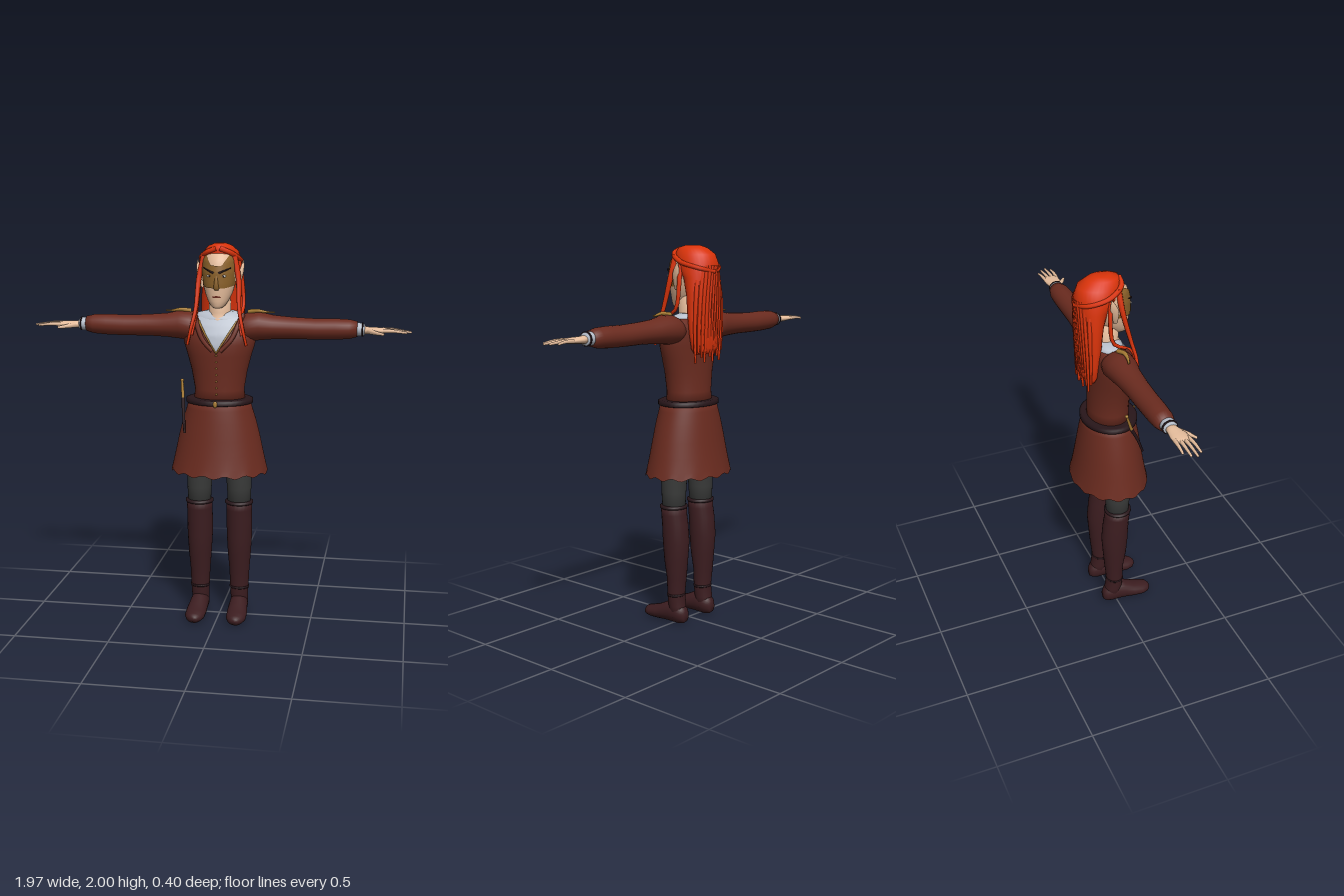
import * as THREE from 'three';

const mat = (name, color, side = THREE.FrontSide) => {
  const m = new THREE.MeshStandardMaterial({ color, side });
  m.name = name;
  return m;
};

// Closed skin over elliptical sections [t, a, b, ra, rb] stacked along an axis.
function loft(secs, axis = 'y', segs = 24, capped = true) {
  const pos = [], idx = [], n = secs.length;
  const put = (t, a, b) =>
    pos.push(...(axis === 'y' ? [a, t, b] : axis === 'x' ? [t, a, b] : [a, b, t]));
  for (const [t, a, b, ra, rb] of secs) {
    for (let i = 0; i < segs; i++) {
      const w = (i / segs) * Math.PI * 2;
      put(t, a + ra * Math.cos(w), b + rb * Math.sin(w));
    }
  }
  const flip = (axis !== 'y') !== (secs[n - 1][0] < secs[0][0]);
  const tri = (a, b, c) => (flip ? idx.push(a, c, b) : idx.push(a, b, c));
  for (let j = 0; j < n - 1; j++) {
    for (let i = 0; i < segs; i++) {
      const k = (i + 1) % segs, r = j * segs, s = r + segs;
      tri(r + i, s + i, r + k);
      tri(r + k, s + i, s + k);
    }
  }
  if (capped) {
    put(...secs[0].slice(0, 3));
    put(...secs[n - 1].slice(0, 3));
    const c0 = n * segs, last = (n - 1) * segs;
    for (let i = 0; i < segs; i++) {
      const k = (i + 1) % segs;
      tri(c0, i, k);
      tri(c0 + 1, last + k, last + i);
    }
  }
  const g = new THREE.BufferGeometry();
  g.setAttribute('position', new THREE.Float32BufferAttribute(pos, 3));
  g.setIndex(idx);
  g.computeVertexNormals();
  return g;
}

// Tube along points whose radius runs from r0 to r1.
function strand(points, r0, r1, steps = 14) {
  const curve = new THREE.CatmullRomCurve3(points.map(p => new THREE.Vector3(...p)));
  const g = new THREE.TubeGeometry(curve, steps, 1, 7);
  const p = g.attributes.position, v = new THREE.Vector3();
  for (let i = 0; i < p.count; i++) {
    const t = Math.floor(i / 8) / steps, c = curve.getPointAt(t);
    v.fromBufferAttribute(p, i).sub(c).multiplyScalar(r0 + (r1 - r0) * t).add(c);
    p.setXYZ(i, v.x, v.y, v.z);
  }
  return g;
}

// Front z of a y-stacked loft at (x, y).
function frontZ(secs, x, y) {
  let j = 0;
  while (j < secs.length - 2 && y > secs[j + 1][0]) j++;
  const k = THREE.MathUtils.clamp((y - secs[j][0]) / (secs[j + 1][0] - secs[j][0]), 0, 1);
  const [, , cz, rx, rz] = secs[j].map((a, i) => a + (secs[j + 1][i] - a) * k);
  return cz + rz * Math.sqrt(Math.max(0, 1 - (x / rx) ** 2));
}

// Thin sheet lying on a loft between the curves lo(x) and hi(x).
function plate(secs, half, lo, hi, off) {
  const g = new THREE.PlaneGeometry(2, 1, 28, 14), p = g.attributes.position;
  for (let i = 0; i < p.count; i++) {
    const x = p.getX(i) * half, a = Math.abs(x);
    const y = lo(a) + (hi(a) - lo(a)) * (p.getY(i) + 0.5);
    p.setXYZ(i, x, y, frontZ(secs, x, y) + off);
  }
  g.computeVertexNormals();
  return g;
}

export function createModel() {
  const root = new THREE.Group();
  root.name = 'costumedFigure';
  const coat = mat('russet coat', 0x6a2b1f, THREE.DoubleSide);
  const hair = mat('red hair', 0xd9330a);
  const skin = mat('skin', 0xe6bd9c);
  const boot = mat('dark boot leather', 0x3c1d20);
  const tights = mat('charcoal tights', 0x393a39);
  const shirt = mat('pale grey shirt', 0xb9c0cc, THREE.DoubleSide);
  const gold = mat('old gold', 0xa87c34);
  const maskMat = mat('bronze mask', 0x8c622a, THREE.DoubleSide);
  const belt = mat('belt leather', 0x28161a);
  const white = mat('eye white', 0xe8e4dc);
  const add = (name, geo, m) => {
    const o = new THREE.Mesh(geo, m);
    o.name = name;
    root.add(o);
    return o;
  };
  const ball = (name, m, x, y, z, rx, ry, rz) => {
    const o = add(name, new THREE.SphereGeometry(1, 14, 10), m);
    o.position.set(x, y, z);
    o.scale.set(rx, ry, rz);
    return o;
  };

  // Coat body, skirt and belt
  const torso = [[1.17, 0, -.005, .138, .106], [1.25, 0, -.003, .13, .105], [1.35, 0, 0, .147, .105],
    [1.43, 0, .002, .168, .109], [1.49, 0, .002, .186, .11], [1.54, 0, -.003, .192, .106],
    [1.59, 0, -.012, .185, .092], [1.63, 0, -.02, .15, .072]];
  add('coatBody', loft(torso, 'y', 36), coat);
  const skirt = loft([[.812, 0, 0, .257, .2], [.85, 0, 0, .248, .191], [.92, 0, 0, .232, .178], [1.0, 0, 0, .215, .165],
    [1.09, 0, 0, .192, .152], [1.15, 0, 0, .173, .141], [1.19, 0, 0, .162, .134], [1.195, 0, 0, .12, .09]], 'y', 72, false);
  for (let i = 0, p = skirt.attributes.position; i < 72; i++) {
    p.setY(i, p.getY(i) + .008 * Math.cos(i / 72 * Math.PI * 28));
  }
  skirt.computeVertexNormals();
  add('skirt', skirt, coat);
  add('belt', loft([[1.177, 0, 0, .166, .136], [1.18, 0, 0, .176, .145], [1.2, 0, 0, .176, .145], [1.205, 0, 0, .163, .134]], 'y', 40), belt);
  ball('beltBuckle', gold, 0, 1.19, .146, .011, .018, .006);
  for (let i = 0; i < 7; i++) {
    const y = 1.235 + i * .034;
    ball('coatButton', gold, 0, y, frontZ(torso, 0, y) + .003, .005, .005, .005);
  }

  // Shirt, neck and head
  add('shirtYoke', loft([[1.585, 0, -.012, .145, .088], [1.625, 0, -.016, .142, .08], [1.645, 0, -.022, .12, .066], [1.655, 0, -.025, .075, .055]], 'y', 30), shirt);
  add('shirtFront', plate(torso, .1, a => 1.45 + a * 1.6, a => 1.615 + a * .15, .005), shirt);
  add('neck', loft([[1.59, 0, 0, .078, .073], [1.62, 0, -.005, .072, .072], [1.65, 0, -.01, .058, .06], [1.75, 0, -.005, .055, .06]]), skin);
  const head = [[1.678, 0, .06, .022, .028], [1.69, 0, .052, .038, .045], [1.715, 0, .038, .054, .062], [1.75, 0, .021, .07, .082],
    [1.8, 0, .01, .083, .096], [1.86, 0, 0, .09, .106], [1.92, 0, -.005, .086, .1], [1.96, 0, -.015, .065, .075], [1.98, 0, -.02, .03, .04]];
  add('head', loft(head, 'y', 30), skin);
  add('lips', plate(head, .024, a => 1.732 + a * .1, a => 1.743 - a * .2, .003), coat);
  add('nose', loft([[1.772, 0, .104, .01, .008], [1.782, 0, .108, .015, .014], [1.81, 0, .108, .011, .013], [1.85, 0, .104, .008, .008]], 'y', 12), maskMat);
  add('mask', plate(head, .084, a => 1.782 + .25 * Math.max(0, a - .045),
    a => 1.895 + .055 * Math.max(0, 1 - Math.abs(a - .062) / .034), .007), maskMat);

  // Hair cap, long back fall and ragged locks
  add('hairMass', loft([[2, 0, -.03, .03, .04], [1.988, 0, -.03, .062, .08], [1.955, 0, -.046, .092, .112], [1.9, 0, -.062, .105, .114],
    [1.84, 0, -.09, .108, .082], [1.75, 0, -.103, .112, .066], [1.65, 0, -.107, .115, .056],
    [1.55, 0, -.112, .11, .046], [1.48, 0, -.115, .1, .04], [1.45, 0, -.115, .08, .03]], 'y', 32), hair);
  for (let i = -5; i <= 5; i++) {
    const x = i * .019, d = Math.sqrt(1 - (i / 6) ** 2), end = 1.41 + .025 * ((i * 7 + 40) % 3);
    add('backLock', strand([[x * .7, 1.9, -.06 - .11 * d], [x, 1.75, -.1 - .063 * d], [x * 1.1, 1.58, -.11 - .045 * d], [x * 1.05, end, -.12 - .025 * d]], .014, .006), hair);
  }

  for (const s of [1, -1]) {
    // Side tresses and wrapped braids
    add('frontTress', strand([[.075 * s, 1.95, .02], [.102 * s, 1.83, .035], [.113 * s, 1.67, .075], [.135 * s, 1.57, .098], [.153 * s, 1.49, .095]], .017, .007), hair);
    add('sideTress', strand([[.09 * s, 1.93, -.02], [.113 * s, 1.8, -.035], [.122 * s, 1.68, -.02], [.115 * s, 1.62, .075], [.128 * s, 1.54, .1]], .014, .006), hair);
    add('hairBraid', strand([[.008 * s, 1.978, .053], [.06 * s, 1.958, .045], [.102 * s, 1.92, -.03], [.08 * s, 1.89, -.135], [0, 1.87, -.178]], .014, .012, 20), hair);
    // Pointed ear, eyes and shoulder ornaments
    add('ear', loft([[1.775, .09 * s, .002, .006, .01], [1.82, .102 * s, -.006, .013, .02], [1.86, .112 * s, -.014, .012, .022], [1.89, .117 * s, -.022, .008, .014], [1.915, .119 * s, -.03, .002, .003]], 'y', 12), skin);
    ball('eyeWhite', white, .036 * s, 1.843, frontZ(head, .036, 1.843) + .006, .014, .006, .004);
    ball('iris', belt, .036 * s, 1.843, frontZ(head, .036, 1.843) + .009, .005, .005, .003);
    add('maskBrow', strand([[.012 * s, 1.858, .112], [.04 * s, 1.87, .106], [.07 * s, 1.882, .077]], .005, .003), belt);
    const leaf = add('shoulderLeaf', strand([[.15 * s, 1.652, -.005], [.2 * s, 1.661, .005], [.245 * s, 1.654, .002], [.285 * s, 1.652, -.008]], .013, .003), gold);
    leaf.scale.z = 1.3;
    add('neckTrim', strand([0, .025, .05, .075, .1].map(x => {
      const y = 1.45 + x * 1.6;
      return [x * s, y, frontZ(torso, x, y) + .005];
    }), .004, .006), gold);
    add('lapel', strand([[.02 * s, 1.46, .112], [.075 * s, 1.52, .1], [.11 * s, 1.6, .07], [.125 * s, 1.64, .03]], .011, .014), coat);

    // Sleeve, cuff and hand
    add('sleeve', loft([[.09, 1.565, -.01, .06, .07], [.15, 1.575, -.01, .076, .085], [.21, 1.58, -.01, .073, .08], [.28, 1.576, -.01, .062, .068],
      [.38, 1.574, -.009, .056, .06], [.5, 1.571, -.008, .054, .057], [.6, 1.573, -.008, .054, .056], [.67, 1.574, -.008, .05, .053], [.71, 1.575, -.008, .04, .043]]
      .map(([x, ...r]) => [x * s, ...r]), 'x'), coat);
    add('shirtCuff', loft([[.69, 1.575, -.006, .034, .037], [.735, 1.574, -.004, .034, .037], [.748, 1.573, -.003, .028, .031]]
      .map(([x, ...r]) => [x * s, ...r]), 'x'), shirt);
    add('cuffBand', loft([[.733, 1.574, -.004, .036, .039], [.74, 1.574, -.004, .036, .039]]
      .map(([x, ...r]) => [x * s, ...r]), 'x'), belt);
    add('palm', loft([[.735, 1.572, -.002, .022, .027], [.77, 1.571, .002, .018, .033], [.81, 1.572, .005, .016, .043], [.85, 1.573, .005, .013, .044], [.865, 1.573, .005, .008, .038]]
      .map(([x, ...r]) => [x * s, ...r]), 'x', 16), skin);
    for (let f = 0; f < 4; f++) {
      const z = -.028 + f * .022, tip = [.935, .965, .978, .955][f];
      add('finger', strand([[.84 * s, 1.574, z], [.9 * s, 1.574, z * 1.15], [tip * s, 1.568, z * 1.2]], .011, .006, 8), skin);
      ball('fingertip', skin, tip * s, 1.568, z * 1.2, .007, .006, .006);
    }
    add('thumb', strand([[.765 * s, 1.57, .018], [.8 * s, 1.566, .052], [.84 * s, 1.562, .078]], .015, .007, 8), skin);
    ball('thumbTip', skin, .84 * s, 1.562, .078, .008, .007, .007);

    // Leg, boot and foot
    const x = .107 * s;
    add('leg', loft([[.62, x, .008, .06, .06], [.72, x, .009, .065, .066], [.82, x * .97, .009, .07, .07], [1.1, x * .8, 0, .08, .085]]), tights);
    add('bootShaft', loft([[.04, x, -.02, .045, .045], [.1, x, -.014, .047, .048], [.16, x, -.007, .05, .045], [.25, x, -.011, .054, .052],
      [.35, x, -.007, .062, .065], [.45, x, -.007, .068, .073], [.55, x, 0, .069, .07], [.6, x, .007, .068, .068], [.642, x, .01, .07, .067]]), boot);
    add('bootTopBand', loft([[.632, x, .01, .071, .068], [.636, x, .01, .075, .072], [.646, x, .01, .075, .072], [.65, x, .01, .064, .062]]), belt);
    add('ankleBand', loft([[.153, x, -.007, .05, .045], [.157, x, -.007, .053, .048], [.163, x, -.007, .053, .048], [.167, x, -.007, .05, .045]]), belt);
    add('foot', loft([[-.075, x, .045, .022, .028], [-.06, x, .052, .038, .046], [-.03, x, .058, .046, .058], [.01, x, .062, .049, .061], [.05, x * 1.01, .055, .051, .053],
      [.1, x * 1.03, .042, .054, .041], [.15, x * 1.04, .034, .053, .033], [.185, x * 1.04, .031, .04, .027], [.202, x * 1.03, .03, .018, .014]], 'z'), boot);
  }

  // Sheathed dagger at the right hip
  add('daggerSheath', strand([[-.186, 1.2, .05], [-.176, 1.12, .09], [-.165, 1.03, .125]], .01, .006), belt);
  add('daggerGrip', strand([[-.196, 1.29, .02], [-.191, 1.245, .035], [-.186, 1.195, .052]], .007, .009), gold);
  ball('daggerPommel', gold, -.196, 1.29, .02, .01, .008, .01);
  return root;
}
